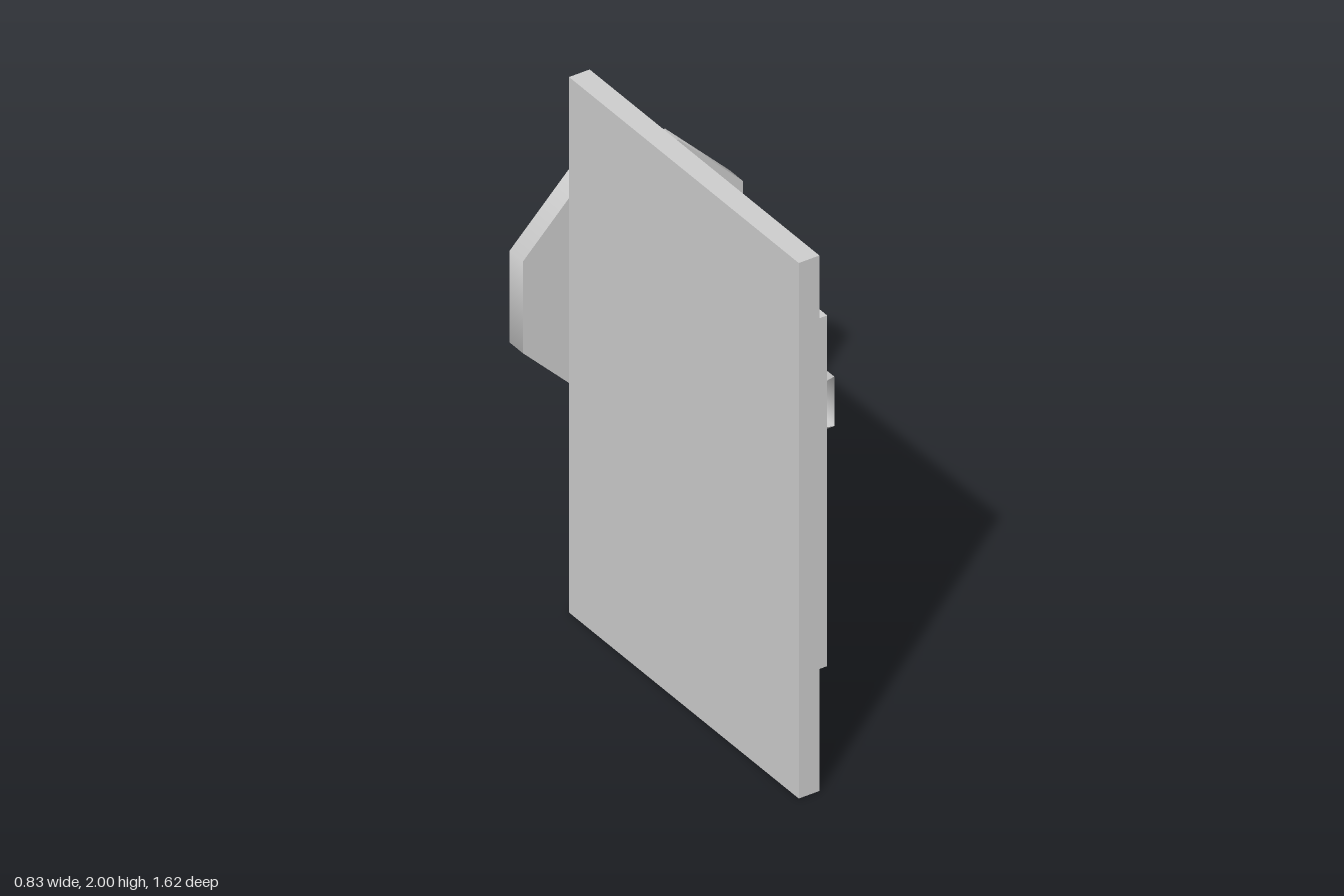
import * as THREE from 'three';

export function createModel() {
  const group = new THREE.Group();
  const mat = new THREE.MeshStandardMaterial({ color: 0xcccccc });
  const thin = new THREE.MeshStandardMaterial({ color: 0xcccccc, side: THREE.DoubleSide });

  const add = (name, geometry, material = mat) => {
    const mesh = new THREE.Mesh(geometry, material);
    mesh.name = name;
    group.add(mesh);
    return mesh;
  };
  // box from its lower and upper corners
  const box = (name, a, b) =>
    add(name, new THREE.BoxGeometry(b[0] - a[0], b[1] - a[1], b[2] - a[2]))
      .position.set((a[0] + b[0]) / 2, (a[1] + b[1]) / 2, (a[2] + b[2]) / 2);

  // screen slab and the housing behind it
  box('screenPanel', [-0.393, 0, -0.48], [-0.335, 2, 0.81]);
  box('rearHousing', [-0.335, 0.35, -0.16], [-0.215, 1.66, 0.675]);

  // raised bezel around the recessed screen, drawn in (-z, y)
  const rect = (Type, z0, y0, z1, y1) => new Type(
    [[-z0, y0], [-z1, y0], [-z1, y1], [-z0, y1]].map(p => new THREE.Vector2(...p)));
  const frame = rect(THREE.Shape, -0.48, 0, 0.81, 2);
  frame.holes.push(rect(THREE.Path, -0.345, 0.095, 0.75, 1.905));
  const bezel = add('screenBezel', new THREE.ExtrudeGeometry(frame, { depth: 0.02, bevelEnabled: false }));
  bezel.rotation.y = Math.PI / 2;
  bezel.position.x = -0.413;

  // eight-sided wall plate
  const plate = new THREE.CylinderGeometry(0.449, 0.449, 0.075, 8);
  plate.rotateY(Math.PI / 8).rotateX(Math.PI / 2).translate(0, 1.003, -0.7725);
  add('wallPlate', plate);

  // square hollow arm: plate ring, mitred elbow ring, ring inside the housing
  const h = 0.0925;
  const corners = [[h, h], [h, -h], [-h, -h], [-h, h]];
  const pos = [];
  for (const [x, y] of corners) pos.push(x, 1.003 + y, -0.735);
  for (const [x, y] of corners) pos.push(x, 1.003 + y, 0.165 + x);
  for (const [x, y] of corners) pos.push(-0.36, 1.003 + y, 0.165 + x);
  pos.push(-0.36, 1.003, 0.165 + h); // tip of the notch
  const index = [];
  for (let r = 0; r < 2; r++) {
    for (let k = 0; k < 4; k++) {
      if (r === 1 && k === 0) continue; // elbow front is notched
      const a = r * 4 + k, d = r * 4 + (k + 1) % 4;
      index.push(a, a + 4, d + 4, a, d + 4, d);
    }
  }
  index.push(4, 8, 12, 5, 12, 9); // two wedges beside the notch
  const arm = new THREE.BufferGeometry();
  arm.setAttribute('position', new THREE.Float32BufferAttribute(pos, 3));
  arm.setIndex(index);
  arm.computeVertexNormals();
  add('mountArm', arm, thin);

  return group;
}
